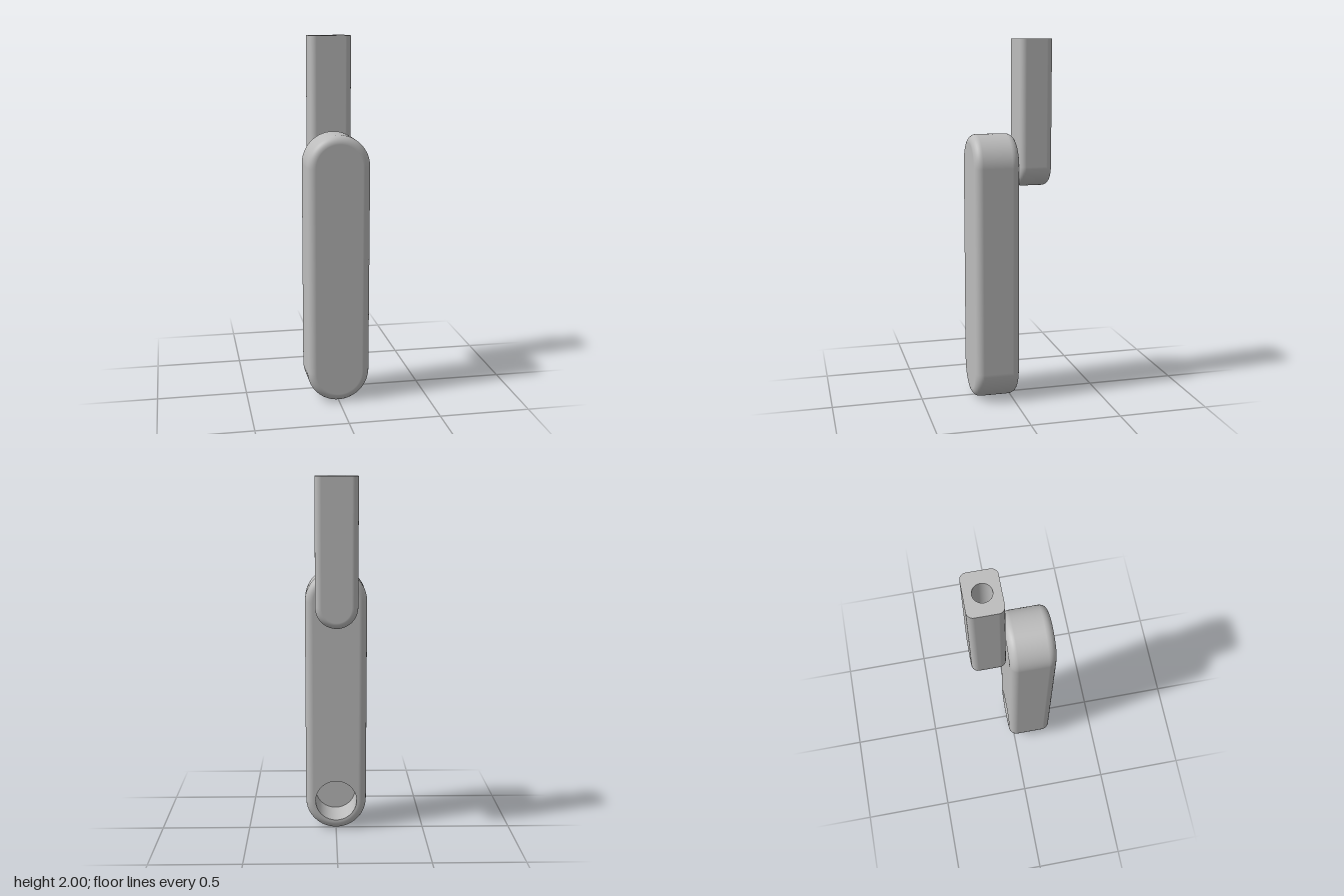
import * as THREE from 'three';

const grey = new THREE.MeshStandardMaterial({ color: 0xbcbcbc, side: THREE.DoubleSide });
grey.name = 'plain grey';

function add(group, name, geometry, x = 0, y = 0, z = 0) {
  const m = new THREE.Mesh(geometry, grey);
  m.name = name;
  m.position.set(x, y, z);
  group.add(m);
  return m;
}

// Arc of path points with outward normals, counter-clockwise
function arc(cy, r, from, to, n = 32) {
  return Array.from({ length: n + 1 }, (_, i) => {
    const a = from + (to - from) * i / n, nx = Math.cos(a), ny = Math.sin(a);
    return { x: r * nx, y: cy + r * ny, nx, ny };
  });
}

// Sweeps a half-round-edged band along the path, with smooth normals
function filletedBand(path, fillet, z0, z1) {
  const pos = [], nor = [], idx = [], steps = 8, rows = 2 * (steps + 1), n = path.length;
  for (let k = 0; k < rows; k++) {
    const front = k > steps;
    const t = (front ? k - steps - 1 : k - steps) / steps * Math.PI / 2;
    const c = Math.cos(t), s = Math.sin(t), zc = front ? z1 - fillet : z0 + fillet;
    for (const p of path) {
      pos.push(p.x + p.nx * fillet * c, p.y + p.ny * fillet * c, zc + fillet * s);
      nor.push(p.nx * c, p.ny * c, s);
    }
  }
  for (let k = 0; k < rows - 1; k++) for (let i = 0; i < n - 1; i++) {
    const a = k * n + i, b = a + 1, d = a + n, e = d + 1;
    idx.push(a, b, e, a, e, d);
  }
  const g = new THREE.BufferGeometry();
  g.setAttribute('position', new THREE.Float32BufferAttribute(pos, 3));
  g.setAttribute('normal', new THREE.Float32BufferAttribute(nor, 3));
  g.setIndex(idx);
  return g;
}

function shapeOf(path, holeY, holeR) {
  const s = new THREE.Shape(path.map(p => new THREE.Vector2(p.x, p.y)));
  if (holeR) s.holes.push(new THREE.Path().absarc(0, holeY, holeR, 0, Math.PI * 2, true));
  return s;
}

const face = (shape) => new THREE.ShapeGeometry(shape, 32);

function lowerLink() {
  const g = new THREE.Group();
  g.name = 'lowerLink';
  const R = 0.172, f = 0.045, z0 = -0.03, z1 = 0.22, yLow = R, yHigh = 1.49 - R;
  const path = [...arc(yLow, R - f, Math.PI, 2 * Math.PI), ...arc(yHigh, R - f, 0, Math.PI)];
  path.push(path[0]);
  add(g, 'lowerLinkSide', filletedBand(path, f, z0, z1));
  const outline = path.slice(0, -1);
  add(g, 'lowerLinkFront', face(shapeOf(outline)), 0, 0, z1);

  // Back face with the round joint socket
  const r = 0.117, depth = 0.2;
  add(g, 'lowerLinkBack', face(shapeOf(outline, yLow, r)), 0, 0, z0).rotation.y = Math.PI;
  add(g, 'socketWall', new THREE.CylinderGeometry(r, r, depth, 48, 1, true).rotateX(Math.PI / 2), 0, yLow, z0 + depth / 2);
  add(g, 'socketFloor', new THREE.CircleGeometry(r, 48).rotateY(Math.PI), 0, yLow, z0 + depth);

  // Small collar in the roof of the socket
  add(g, 'socketCollar', new THREE.TorusGeometry(0.04, 0.01, 10, 28).rotateX(Math.PI / 2), 0, yLow + 0.1, 0.1);
  add(g, 'socketPlug', new THREE.CylinderGeometry(0.022, 0.022, 0.04, 20), 0, yLow + 0.1, 0.1);
  return g;
}

function upperLink() {
  const g = new THREE.Group();
  g.name = 'upperLink';
  const R = 0.115, f = 0.035, z0 = -0.222, z1 = -0.04, top = 2, cy = 1.2 + R;
  const c = R - f, zMid = (z0 + z1) / 2, half = (z1 - z0) / 2;
  const path = [
    { x: -c, y: top, nx: -1, ny: 0 },
    ...arc(cy, c, Math.PI, 2 * Math.PI),
    { x: c, y: top, nx: 1, ny: 0 },
  ];
  add(g, 'upperLinkSide', filletedBand(path, f, z0, z1));
  add(g, 'upperLinkFront', face(shapeOf(path)), 0, 0, z1);
  add(g, 'upperLinkBack', face(shapeOf(path)), 0, 0, z0).rotation.y = Math.PI;

  // Flat top with a round bore
  const s = new THREE.Shape(), w = R - f, h = half - f, q = Math.PI / 2;
  s.absarc(w, h, f, 0, q);
  s.absarc(-w, h, f, q, 2 * q);
  s.absarc(-w, -h, f, 2 * q, 3 * q);
  s.absarc(w, -h, f, 3 * q, 4 * q);
  const r = 0.049, depth = 0.6;
  s.holes.push(new THREE.Path().absarc(0, 0, r, 0, Math.PI * 2, true));
  add(g, 'upperLinkTop', face(s).rotateX(-q), 0, top, zMid);
  add(g, 'boreWall', new THREE.CylinderGeometry(r, r, depth, 40, 1, true), 0, top - depth / 2, zMid);
  add(g, 'boreFloor', new THREE.CircleGeometry(r, 40).rotateX(-q), 0, top - depth, zMid);

  // Cross bar and key at the bottom of the bore
  add(g, 'boreBar', new THREE.BoxGeometry(0.09, 0.03, 0.024), 0, top - depth + 0.015, -0.148);
  add(g, 'boreKey', new THREE.BoxGeometry(0.018, 0.02, 0.02), 0, top - depth + 0.035, -0.146);
  return g;
}

export function createModel() {
  const model = new THREE.Group();
  model.name = 'foldingArm';
  model.add(lowerLink(), upperLink());
  return model;
}
